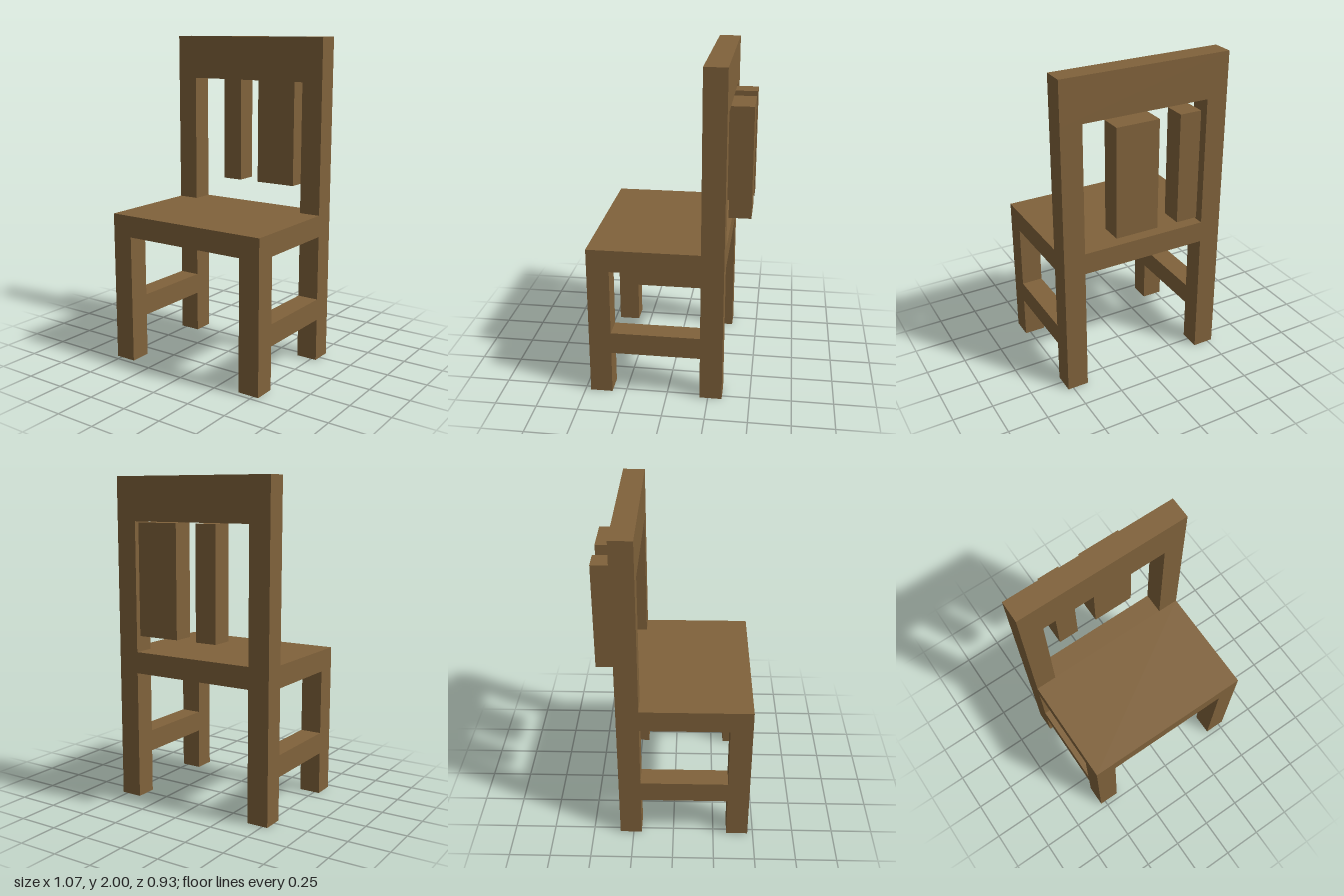
import * as THREE from 'three';

// The chair is laid out on a grid of 15 units in height
const U = 2 / 15;

export function createModel() {
  const chair = new THREE.Group();
  chair.name = 'chair';
  const wood = new THREE.MeshStandardMaterial({ color: 0x80623b });
  wood.name = 'brown wood';

  // Box between two corners, given in grid units
  function addBox(name, [x0, x1], [y0, y1], [z0, z1]) {
    const mesh = new THREE.Mesh(
      new THREE.BoxGeometry((x1 - x0) * U, (y1 - y0) * U, (z1 - z0) * U), wood);
    mesh.position.set((x0 + x1) * U / 2, (y0 + y1) * U / 2, (z0 + z1) * U / 2);
    mesh.name = name;
    chair.add(mesh);
  }

  // Legs, back posts and side stretchers, one set per side
  for (const [side, x] of [['left', [3, 4]], ['right', [-4, -3]]]) {
    addBox(side + 'FrontLeg', x, [0, 6], [2.5, 3.5]);
    addBox(side + 'BackPost', x, [0, 13], [-2.5, -1.5]);
    addBox(side + 'Stretcher', x, [2, 3], [-1.5, 2.5]);
  }

  // Seat, with a narrower strip between the back posts
  addBox('seat', [-4, 4], [6, 7], [-1.5, 3.5]);
  addBox('seatBackStrip', [-3, 3], [6, 7], [-2.5, -1.5]);

  // Top rail and the two slats set behind the back
  addBox('topRail', [-4, 4], [13, 15], [-2.5, -1.5]);
  addBox('narrowSlat', [-2, -1], [8, 13], [-3.5, -2.5]);
  addBox('wideSlat', [0, 2], [8, 13], [-3.5, -2.5]);

  return chair;
}
